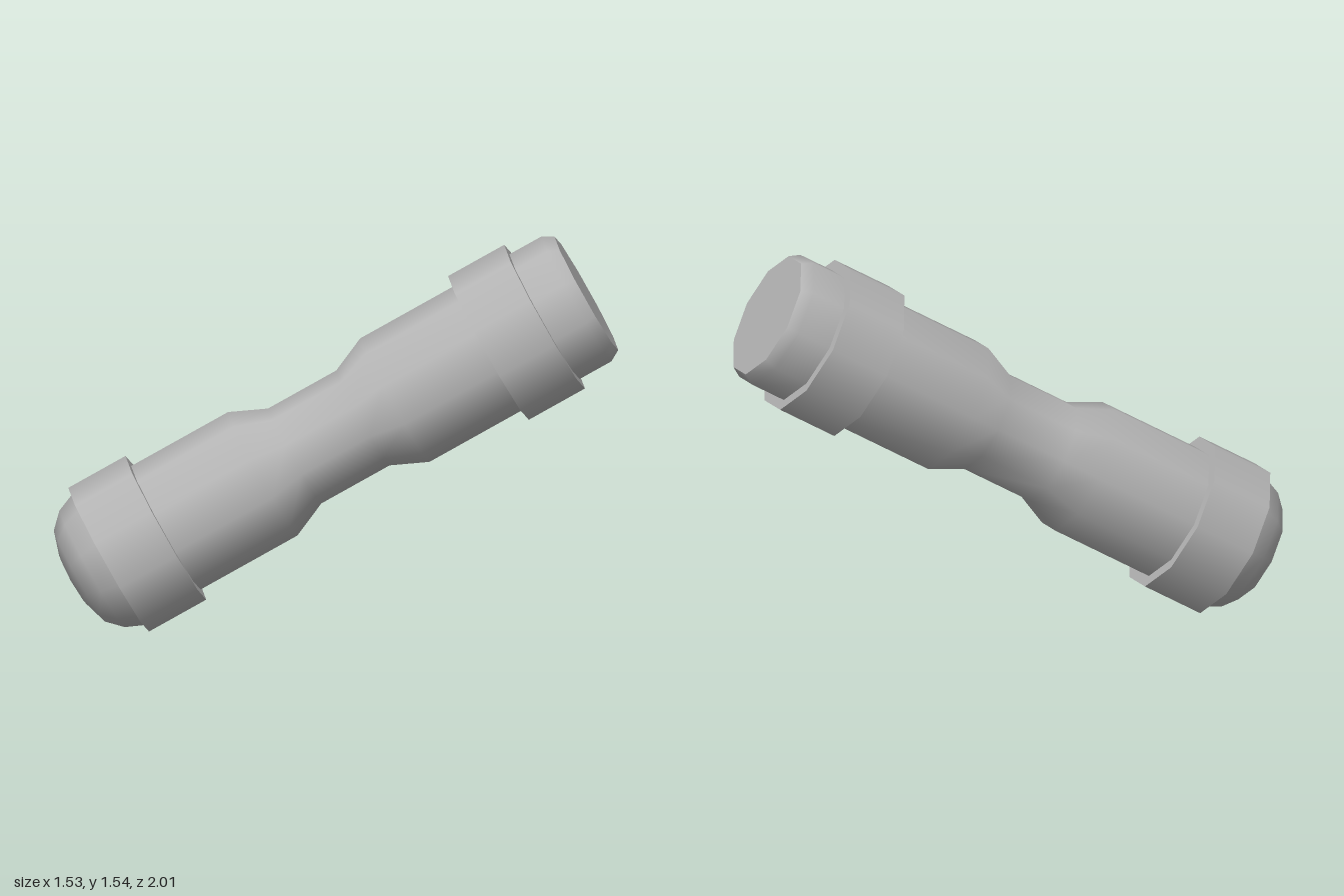
import * as THREE from 'three';

const SIDES = 10;

export function createModel() {
  const group = new THREE.Group();
  group.name = 'tiltedHandle';
  const grey = new THREE.MeshStandardMaterial({ color: 0xb4b4b4 });
  grey.name = 'grey';

  // Smooth ten-sided band turned from [radius, height] pairs, listed bottom to top
  const band = (parent, name, profile) => {
    const points = profile.map(([r, h]) => new THREE.Vector2(r, h));
    const mesh = new THREE.Mesh(new THREE.LatheGeometry(points, SIDES), grey);
    mesh.name = name;
    parent.add(mesh);
  };

  // Grip with a narrow waist, symmetric about height 1
  band(group, 'grip', [
    [0.281, 0.1], [0.281, 0.7], [0.216, 0.845],
    [0.216, 1.155], [0.281, 1.3], [0.281, 1.9],
  ]);

  // Collars: separate strips keep the rims sharp
  const collar = (name, bottom, top) => {
    const part = new THREE.Group();
    part.name = name;
    band(part, 'lowerRim', [[0.265, bottom], [0.327, bottom]]);
    band(part, 'side', [[0.327, bottom], [0.327, top]]);
    band(part, 'upperRim', [[0.327, top], [0.265, top]]);
    group.add(part);
  };
  collar('frontCollar', 0, 0.26);
  collar('backCollar', 1.725, 1.98);

  // Rounded front end
  band(group, 'frontDome', [
    [0, -0.172], [0.11, -0.163], [0.207, -0.133], [0.265, -0.075], [0.297, 0],
  ]);

  // Back cap with a slight bevel and a flat end
  band(group, 'backCap', [[0.284, 1.95], [0.284, 2.125], [0.258, 2.17]]);
  band(group, 'backCapEnd', [[0.258, 2.17], [0, 2.17]]);

  // Tilt the long axis up, back and to the left, with a corner facing outward
  const axis = new THREE.Vector3(0.478, 0.48, -0.736).normalize();
  const corner = new THREE.Vector3(0.57, 0.5, 0.65);
  corner.addScaledVector(axis, -corner.dot(axis)).normalize();
  const side = new THREE.Vector3().crossVectors(axis, corner);
  group.quaternion.setFromRotationMatrix(new THREE.Matrix4().makeBasis(side, axis, corner));
  group.position.set(-0.495, 0.282, 0.775);

  const model = new THREE.Group();
  model.name = 'model';
  model.add(group);
  return model;
}
